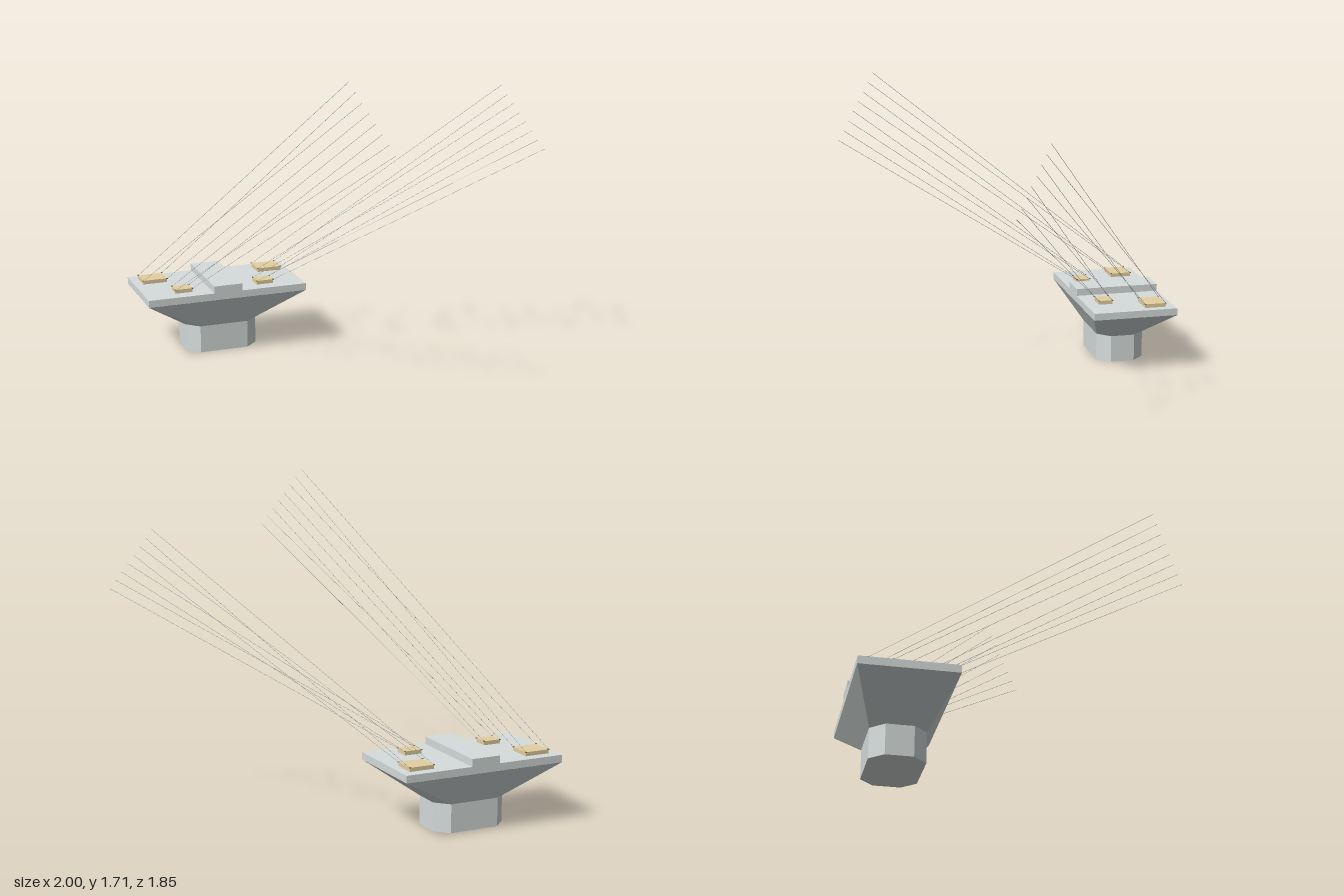
import * as THREE from 'three';

const concrete = new THREE.MeshStandardMaterial({ color: 0xd6dddc });
concrete.name = 'concrete';
const padTan = new THREE.MeshStandardMaterial({ color: 0xe4cf9f });
padTan.name = 'pad tan';
const anchorBrown = new THREE.MeshStandardMaterial({ color: 0x8a6a3c });
anchorBrown.name = 'anchor brown';
const cableSteel = new THREE.MeshStandardMaterial({ color: 0xb4babc });
cableSteel.name = 'cable steel';

const CX = -0.55, CZ = -0.6875;

// Rectangle ring with chamfered corners; counter-clockwise seen from above
function ring(w, d, c, y) {
  const x = w / 2, z = d / 2;
  return [
    [-x + c, z], [x - c, z], [x, z - c], [x, -z + c],
    [x - c, -z], [-x + c, -z], [-x, -z + c], [-x, z - c],
  ].map(([px, pz]) => new THREE.Vector3(CX + px, y, CZ + pz));
}

// Closed, flat-faced solid between two rings
function loft(low, high) {
  const points = [];
  const tri = (a, b, c) => {
    const area = b.clone().sub(a).cross(c.clone().sub(a)).length();
    if (area > 1e-8) points.push(a, b, c);
  };
  const n = low.length;
  for (let i = 0; i < n; i++) {
    const j = (i + 1) % n;
    tri(low[i], low[j], high[j]);
    tri(low[i], high[j], high[i]);
    if (i > 0 && i < n - 1) {
      tri(high[0], high[i], high[j]);
      tri(low[0], low[j], low[i]);
    }
  }
  const geometry = new THREE.BufferGeometry().setFromPoints(points);
  geometry.computeVertexNormals();
  return geometry;
}

export function createModel() {
  const model = new THREE.Group();
  model.name = 'cablePier';

  const add = (name, geometry, material, parent = model) => {
    const mesh = new THREE.Mesh(geometry, material);
    mesh.name = name;
    parent.add(mesh);
    return mesh;
  };
  const box = (name, x0, x1, y0, y1, z0, z1, material, parent) =>
    add(name, new THREE.BoxGeometry(x1 - x0, y1 - y0, z1 - z0), material, parent)
      .position.set((x0 + x1) / 2, (y0 + y1) / 2, (z0 + z1) / 2);

  // Pier: chamfered column, flared head, cap slab and raised middle strip
  add('column', loft(ring(0.408, 0.272, 0.068, 0), ring(0.408, 0.272, 0.068, 0.152)), concrete);
  add('flaredHead', loft(ring(0.408, 0.272, 0.068, 0.152), ring(0.9, 0.478, 0, 0.328)), concrete);
  box('capSlab', -1, -0.1, 0.328, 0.367, -0.926, -0.449, concrete);
  box('raisedStrip', -0.63, -0.47, 0.367, 0.407, -0.926, -0.449, concrete);

  // Each side has two pads, with a cable from every pad corner
  const sides = [
    {
      name: 'right',
      pads: [[-0.952, -0.816, -0.873, -0.755], [-0.83, -0.735, -0.6, -0.523]],
      from: new THREE.Vector3(-0.297, 1.708, 0.72),
      to: new THREE.Vector3(-0.14, 1.383, 0.924),
    },
    {
      name: 'left',
      pads: [[-0.282, -0.146, -0.873, -0.755], [-0.363, -0.268, -0.6, -0.523]],
      from: new THREE.Vector3(0.84, 1.508, 0.045),
      to: new THREE.Vector3(1, 1.188, 0.25),
    },
  ];
  const up = new THREE.Vector3(0, 1, 0);
  const anchorGeometry = new THREE.CylinderGeometry(0.005, 0.005, 0.004, 8);

  for (const side of sides) {
    const group = new THREE.Group();
    group.name = side.name + 'Stays';
    model.add(group);
    let i = 0;
    for (const [x0, x1, z0, z1] of side.pads) {
      box('pad', x0, x1, 0.367, 0.388, z0, z1, padTan, group);
      for (const z of [z0, z1]) for (const x of [x0, x1]) {
        const start = new THREE.Vector3(x, 0.387, z);
        const end = side.from.clone().lerp(side.to, i++ / 7);
        const dir = end.clone().sub(start);
        const cable = add('cable', new THREE.CylinderGeometry(0.001, 0.001, dir.length(), 6), cableSteel, group);
        cable.position.copy(start).add(end).multiplyScalar(0.5);
        cable.quaternion.setFromUnitVectors(up, dir.normalize());
        add('cableAnchor', anchorGeometry, anchorBrown, group).position.set(x, 0.388, z);
      }
    }
  }
  return model;
}
